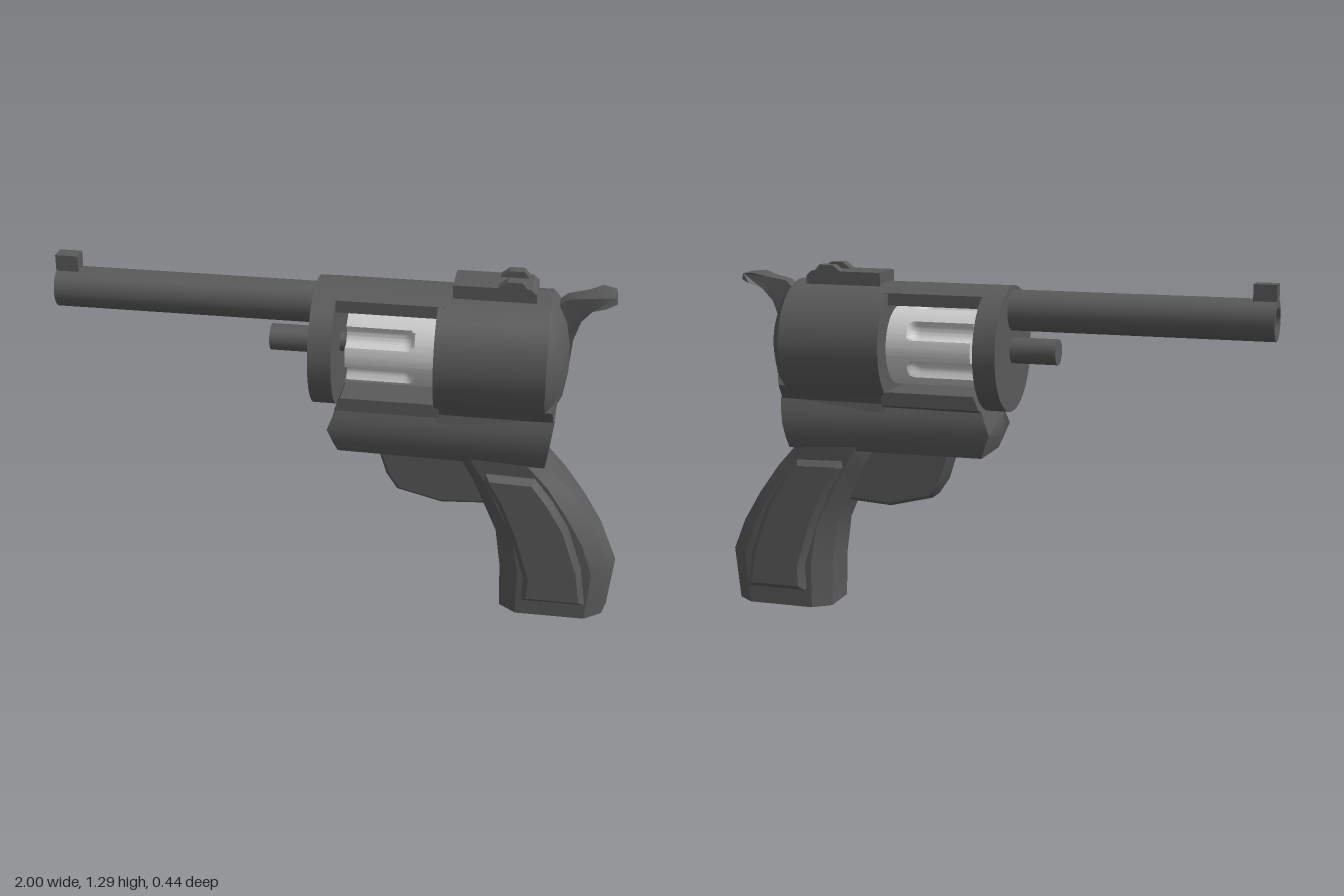
import * as THREE from 'three';
import { toCreasedNormals } from 'three/addons/utils/BufferGeometryUtils.js';

const steel = new THREE.MeshStandardMaterial({ color: 0x5a5a5a });
const bright = new THREE.MeshStandardMaterial({ color: 0xcccccc });
const AXIS = 1.01; // height of the drum axis
const R = 0.222; // frame radius

const shapeOf = (pts) => new THREE.Shape(pts.map((p) => new THREE.Vector2(...p)));

// Move every vertex by a rule
function warp(geo, rule) {
  const p = geo.attributes.position;
  const v = new THREE.Vector3();
  for (let i = 0; i < p.count; i++) {
    rule(v.fromBufferAttribute(p, i));
    p.setXYZ(i, v.x, v.y, v.z);
  }
  return geo;
}

// Side outline (x, y), extruded symmetrically in z, with an optional bevel
function extrudeSide(shape, half, bevel = 0) {
  return new THREE.ExtrudeGeometry(shape, {
    depth: 2 * (half - bevel), bevelEnabled: bevel > 0, bevelSize: bevel,
    bevelOffset: -bevel, bevelThickness: bevel, bevelSegments: 1,
  }).translate(0, 0, bevel - half);
}

// Symmetric cross-section given by its (z, y) half, extruded from x0 to x1
function extrudeAlong(half, x0, x1, steps = 1) {
  const mirrored = half.map(([z, y]) => [-z, y]).reverse();
  return new THREE.ExtrudeGeometry(shapeOf([...half, ...mirrored]), {
    depth: x1 - x0, steps, bevelEnabled: false,
  }).rotateY(Math.PI / 2).translate(x0, 0, 0);
}

// Turned part along x, from (radius, x) points
function turned(pts, y, sides = 32) {
  return new THREE.LatheGeometry(pts.map((p) => new THREE.Vector2(...p)), sides)
    .rotateZ(-Math.PI / 2).translate(0, y, 0);
}

const rod = (r, x0, x1, y, sides) => turned([[0, x0], [r, x0], [r, x1], [0, x1]], y, sides);

// Grip lofted through [frontX, frontY, backX, backY, halfWidth] rings
function gripGeometry() {
  const rings = [
    [0.43, 0.66, 0.725, 0.66, 0.12], [0.43, 0.63, 0.735, 0.63, 0.12],
    [0.48, 0.54, 0.81, 0.55, 0.113], [0.53, 0.43, 0.89, 0.44, 0.115],
    [0.57, 0.34, 0.955, 0.33, 0.118], [0.59, 0.2, 1, 0.22, 0.122],
    [0.595, 0.03, 0.98, 0.03, 0.12], [0.68, 0.008, 0.93, 0.008, 0.05],
  ];
  const section = [[0, 0.6], [0.16, 1], [0.8, 1], [0.96, 0.6], [1, 0],
    [0.96, -0.6], [0.8, -1], [0.16, -1], [0, -0.6]];
  const n = section.length;
  const pos = [], idx = [];
  for (const [fx, fy, bx, by, w] of rings) {
    for (const [t, s] of section) pos.push(fx + (bx - fx) * t, fy + (by - fy) * t, s * w);
  }
  for (let i = 0; i < rings.length - 1; i++) {
    for (let j = 0; j < n; j++) {
      const a = i * n + j, b = i * n + (j + 1) % n;
      idx.push(a, a + n, b + n, a, b + n, b);
    }
  }
  const last = (rings.length - 1) * n;
  pos.push(0.8, 0, 0);
  for (let j = 0; j < n; j++) idx.push(rings.length * n, last + (j + 1) % n, last + j);
  const geo = new THREE.BufferGeometry();
  geo.setAttribute('position', new THREE.Float32BufferAttribute(pos, 3));
  geo.setIndex(idx);
  return geo;
}

// Drum with six round-ended flutes open at the front
function drumGeometry() {
  const x0 = 0.035, x1 = 0.35, r = 0.14, cut = 0.036, offset = 0.143, end = 0.235;
  const pts = [[0, x0]];
  for (let i = 0; i <= 32; i++) pts.push([r, x0 + ((x1 - x0) * i) / 32]);
  pts.push([0, x1]);
  return warp(turned(pts, 0, 120), (v) => {
    const rad = Math.hypot(v.y, v.z);
    if (rad < 0.01) return;
    const step = Math.PI / 3;
    const a = Math.atan2(v.y, v.z) - Math.PI / 6;
    const d = a - Math.round(a / step) * step;
    const over = Math.max(0, v.x - end);
    const c2 = cut * cut - over * over - (offset * Math.sin(d)) ** 2;
    if (c2 <= 0) return;
    const k = Math.min(r, offset * Math.cos(d) - Math.sqrt(c2)) / rad;
    v.y *= k;
    v.z *= k;
  }).translate(0, AXIS - 0.003, 0);
}

export function createModel() {
  const group = new THREE.Group();
  const add = (name, geo, material = steel, crease = 0.6) => {
    const mesh = new THREE.Mesh(toCreasedNormals(geo, crease), material);
    mesh.name = name;
    group.add(mesh);
  };

  // Barrel with open bore, and the front sight
  add('barrel', turned([[0, -0.8], [0.05, -0.8], [0.05, -1], [0.072, -1], [0.072, -0.05], [0, -0.05]], 1.147, 24));
  add('frontSight', extrudeSide(shapeOf([[-1, 1.19], [-0.92, 1.19], [-0.92, 1.27], [-1, 1.27]]), 0.028));

  // Rods under the barrel and through the drum
  add('ejectorRod', rod(0.046, -0.245, -0.04, 1.005, 16));
  add('drumPin', rod(0.034, -0.02, 0.06, 1.005, 16));

  // Round frame: front plate, and rear housing with domed back
  add('frontPlate', rod(R, -0.08, 0, AXIS, 40));
  add('rearHousing', turned([[0, 0.345], [R, 0.345], [R, 0.72], [0.195, 0.745], [0.14, 0.773], [0.06, 0.787], [0, 0.79]], AXIS, 40));

  // Top strap, a slice of the round frame
  const arc = [[0.11, 1.16]];
  for (let i = 0; i <= 5; i++) {
    const z = 0.11 * (1 - i / 5);
    arc.push([z, AXIS + Math.sqrt(R * R - z * z)]);
  }
  add('topStrap', extrudeAlong(arc.slice(0, 6), -0.02, 0.37));

  // Lower frame with a blunt nose, and the sill beneath the drum
  const lower = [[0.12, 0.63], [0.138, 0.67], [0.15, 0.72], [0.143, 0.77], [0.125, 0.815]];
  add('lowerFrame', warp(extrudeAlong(lower, 0, 0.73), (v) => {
    if (v.x < 0.1) {
      v.x = -0.03 + 0.035 * Math.abs(v.y - 0.72) / 0.09;
      v.z *= 0.85;
    } else v.x = 0.73 + (v.y - 0.63) * 0.14;
  }));
  add('drumSill', warp(extrudeAlong([[0.1, 0.79], [0.15, 0.81], [0.15, 0.858]], 0, 0.36), (v) => {
    if (v.x < 0.1 && v.y > 0.85) v.x += 0.02;
  }));

  // Neck blending the rear housing into the lower frame
  add('neck', warp(extrudeAlong([[0.13, 0.78], [0.125, 0.81], [0.145, 0.84], [0.165, 0.865], [0.12, 0.94], [0.08, 1.02]], 0.35, 0.73), (v) => {
    if (v.x > 0.5) v.x = 0.73 + (v.y - 0.63) * 0.14 - Math.max(0, Math.abs(v.z) - 0.11) * 0.3;
  }));

  // Rear sight: plate and two notch posts
  add('rearSightPlate', extrudeSide(shapeOf([[0.39, 1.2], [0.67, 1.2], [0.67, 1.25], [0.65, 1.268], [0.39, 1.268]]), 0.07));
  for (const side of [-1, 1]) {
    const post = extrudeSide(shapeOf([[0.53, 1.26], [0.645, 1.26], [0.62, 1.29], [0.57, 1.29]]), 0.02);
    add('rearSightPost', post.translate(0, 0, side * 0.05));
  }

  // Hammer, its spur flaring toward the tip
  const hammer = shapeOf([[0.7, 1.0], [0.79, 1.0], [0.797, 1.08], [0.82, 1.15], [0.855, 1.195],
    [0.9, 1.213], [0.935, 1.225], [0.93, 1.247], [0.885, 1.25], [0.84, 1.238], [0.77, 1.225], [0.73, 1.19]]);
  add('hammer', warp(extrudeSide(hammer, 1), (v) => {
    v.z *= THREE.MathUtils.lerp(0.03, 0.062, THREE.MathUtils.smoothstep(v.x, 0.8, 0.9));
    if (v.x > 0.92) v.z *= 0.7;
  }));

  // Trigger guard
  const guard = shapeOf([[0.13, 0.65], [0.17, 0.52], [0.21, 0.46], [0.37, 0.42], [0.53, 0.43], [0.6, 0.5], [0.52, 0.65]]);
  guard.holes.push(new THREE.Path([[0.17, 0.632], [0.215, 0.54], [0.37, 0.5], [0.44, 0.515], [0.51, 0.545], [0.43, 0.632]]
    .map((p) => new THREE.Vector2(...p))));
  add('triggerGuard', extrudeSide(guard, 0.05, 0.012));

  // Grip, with a bevelled panel raised on both sides
  add('grip', gripGeometry());
  const panel = shapeOf([[0.675, 0.1], [0.9, 0.1], [0.88, 0.24], [0.825, 0.4], [0.765, 0.5],
    [0.7, 0.585], [0.53, 0.59], [0.525, 0.565], [0.58, 0.47], [0.63, 0.35], [0.68, 0.19]]);
  add('gripPanels', warp(extrudeSide(panel, 0.152, 0.018), (v) => {
    v.z *= 1 + (0.3 - v.y) * 0.2;
  }), steel, 0.4);

  // Fluted drum
  add('drum', drumGeometry(), bright, 0.7);

  return group;
}
